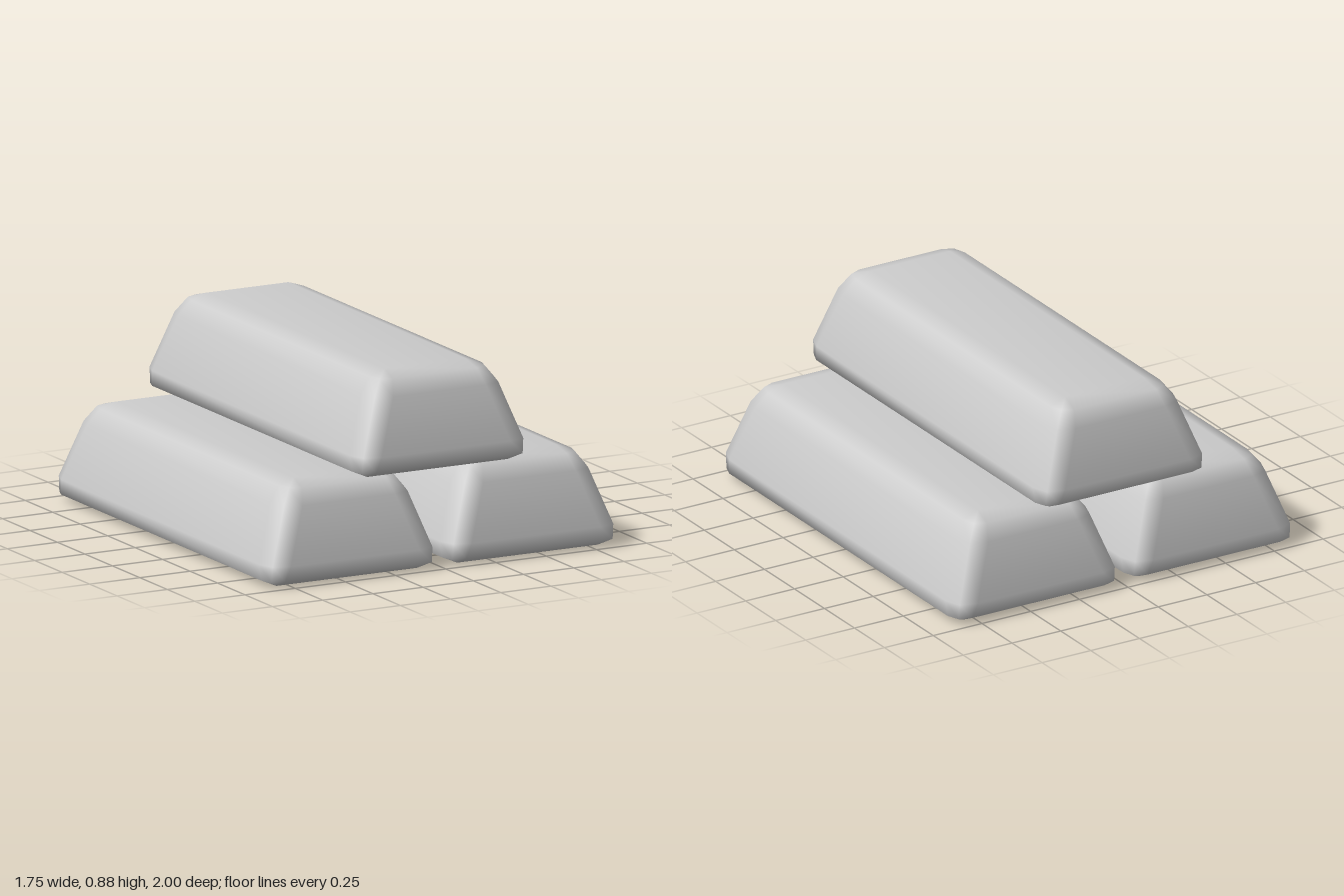
import * as THREE from 'three';
import { mergeVertices } from 'three/addons/utils/BufferGeometryUtils.js';

// Bar levels, bottom to top: y, outer half width/depth, inner corner half width/depth
const LEVELS = [
  [0.0, 0.35, 0.92, 0.35, 0.92],
  [0.03, 0.42, 0.985, 0.34, 0.91],
  [0.1, 0.425, 1.0, 0.32, 0.9],
  [0.35, 0.335, 0.94, 0.23, 0.83],
  [0.42, 0.28, 0.895, 0.21, 0.81],
  [0.446, 0.2, 0.805, 0.2, 0.805],
];

// Rectangle with two-step bevelled corners (12 points)
function ring([y, ox, oz, ix, iz]) {
  const k = 0.74;
  const corner = [
    [ox, iz],
    [ix + (ox - ix) * k, iz + (oz - iz) * k],
    [ix, oz],
  ];
  const points = [];
  for (const [sx, sz] of [[1, 1], [-1, 1], [-1, -1], [1, -1]]) {
    const ordered = sx * sz > 0 ? corner : [...corner].reverse();
    for (const [x, z] of ordered) points.push(new THREE.Vector3(sx * x, y, sz * z));
  }
  return points;
}

// Tapered bar with soft bevels, closed by flat top and bottom
function barGeometry() {
  const rings = LEVELS.map(ring);
  const positions = [];
  const triangle = (a, b, c) => {
    if (a.equals(b) || b.equals(c) || a.equals(c)) return;
    for (const p of [a, b, c]) positions.push(p.x, p.y, p.z);
  };
  const quad = (a, b, c, d) => {
    triangle(a, b, c);
    triangle(a, c, d);
  };
  for (let i = 0; i < rings.length - 1; i++) {
    for (let j = 0; j < 12; j++) {
      const n = (j + 1) % 12;
      quad(rings[i][j], rings[i + 1][j], rings[i + 1][n], rings[i][n]);
    }
  }
  const bottom = rings[0], top = rings[rings.length - 1];
  quad(bottom[0], bottom[3], bottom[6], bottom[9]);
  quad(top[9], top[6], top[3], top[0]);

  const geometry = new THREE.BufferGeometry();
  geometry.setAttribute('position', new THREE.Float32BufferAttribute(positions, 3));
  const merged = mergeVertices(geometry);
  merged.computeVertexNormals();
  return merged;
}

export function createModel() {
  const group = new THREE.Group();
  group.name = 'barStack';
  const geometry = barGeometry();
  const material = new THREE.MeshStandardMaterial({ color: 0xcccccc });

  // Two bars side by side, one resting across them
  for (const [name, x, y] of [
    ['leftBar', 0.45, 0],
    ['rightBar', -0.45, 0],
    ['topBar', 0.002, 0.437],
  ]) {
    const bar = new THREE.Mesh(geometry, material);
    bar.name = name;
    bar.position.set(x, y, 0);
    group.add(bar);
  }
  return group;
}
